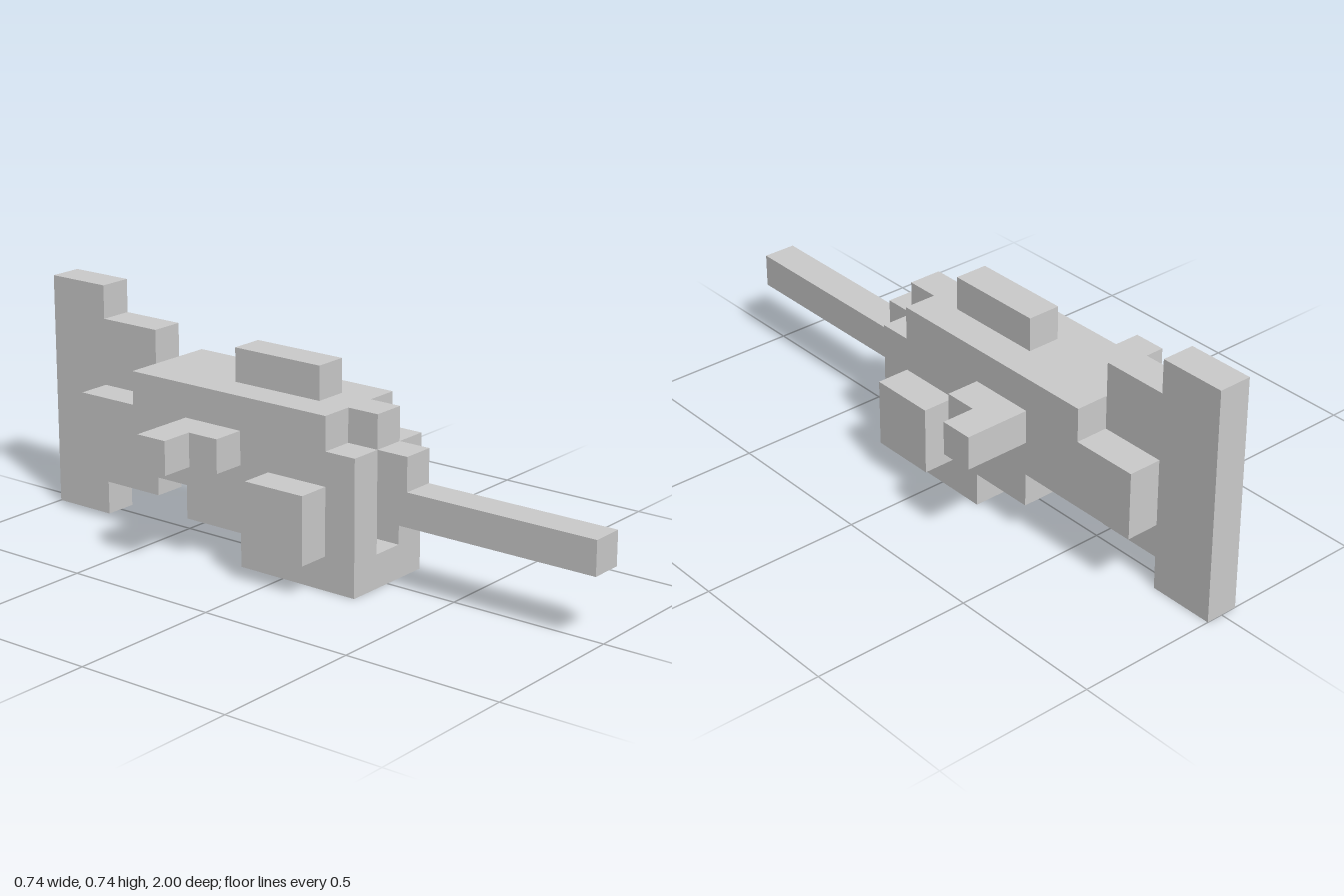
import * as THREE from 'three';

const U = 2 / 19; // one block
const material = new THREE.MeshStandardMaterial({ color: 0xcccccc, flatShading: true });

function addMesh(group, name, geometry) {
  const mesh = new THREE.Mesh(geometry, material);
  mesh.name = name;
  group.add(mesh);
}

// Box from its limits, in blocks
function block(group, name, [x0, x1], [y0, y1], [z0, z1]) {
  const g = new THREE.BoxGeometry((x1 - x0) * U, (y1 - y0) * U, (z1 - z0) * U);
  g.translate((x0 + x1) / 2 * U, (y0 + y1) / 2 * U, (z0 + z1) / 2 * U);
  addMesh(group, name, g);
}

// Side profile of [z, y] points, one block thick, centred on x
function slab(group, name, x, profile) {
  const shape = new THREE.Shape(profile.map(([z, y]) => new THREE.Vector2(z * U, y * U)));
  const g = new THREE.ExtrudeGeometry(shape, { depth: U, bevelEnabled: false });
  g.translate(0, 0, -U / 2);
  g.rotateY(-Math.PI / 2);
  g.translate(x * U, 0, 0);
  addMesh(group, name, g);
}

export function createModel() {
  const model = new THREE.Group();

  // Stepped belly and back shared by the hull slabs
  const belly = [[-7.5, 4], [-7.5, 2], [-3.5, 2], [-3.5, 1], [-1.5, 1], [-1.5, 0], [2.5, 0]];
  const back = [[-5.5, 5], [-5.5, 4]];

  // Hull core with the recess under the nose
  slab(model, 'hullCore', 0, [...belly, [2.5, 1], [1.5, 1], [1.5, 2], [2.5, 2], [2.5, 5], ...back]);

  // Nose
  block(model, 'noseMount', [-0.5, 0.5], [2, 4], [2.5, 3.5]);
  block(model, 'noseBoom', [-0.5, 0.5], [2, 3], [3.5, 9.5]);

  // Ridge on the roof
  block(model, 'roofRidge', [-0.5, 0.5], [5, 6], [-2.5, 0.5]);

  // Stepped tail fin
  slab(model, 'tailFin', 0, [
    [-9.5, 0], [-7.5, 0], [-7.5, 1], [-5.5, 1], [-5.5, 6], [-7.5, 6], [-7.5, 7], [-9.5, 7],
  ]);

  // Mirrored sides
  for (const [side, s] of [['left', 1], ['right', -1]]) {
    const span = (a, b) => (s > 0 ? [a, b] : [-b, -a]);
    slab(model, side + 'HullSide', s, [...belly, [2.5, 4], [1.5, 4], [1.5, 5], ...back]);
    block(model, side + 'Pod', span(1.5, 2.5), [1, 3], [-0.5, 1.5]);
    block(model, side + 'WingRoot', span(1.5, 2.5), [3, 4], [-3.5, -1.5]);
    block(model, side + 'WingTip', span(2.5, 3.5), [3, 4], [-3.5, -2.5]);
  }

  return model;
}
